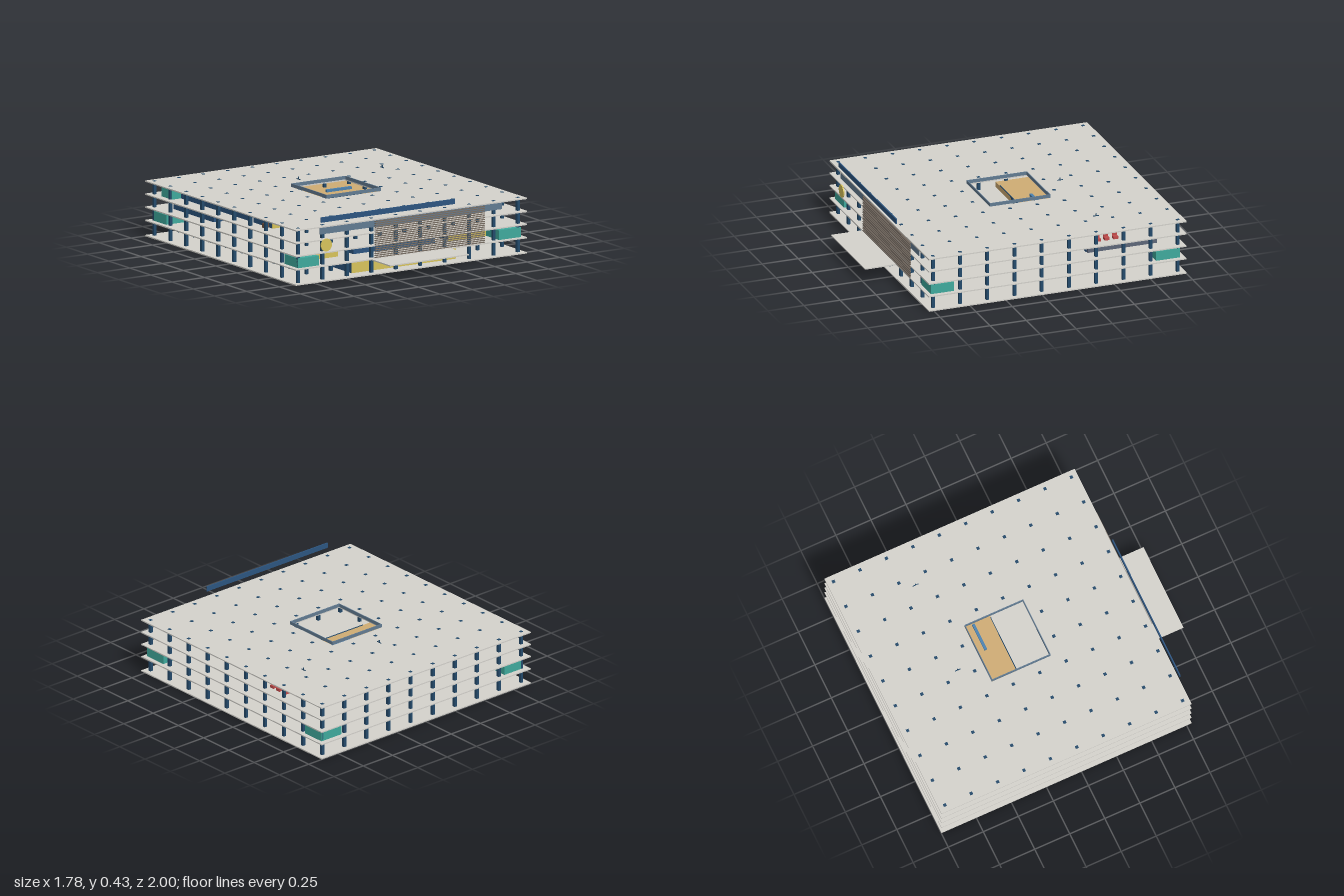
import * as THREE from 'three';

const mats = {};
const mat = (color) => (mats[color] ??= new THREE.MeshStandardMaterial({ color, side: THREE.DoubleSide }));
const C = {
  slab: 0xd4d2cc, column: 0x234a6b, blue: 0x2c5580, steel: 0x627b92, yellow: 0xd8c45c, teal: 0x3fa99c,
  slate: 0x5d6678, white: 0xd6d1ca, tan: 0xcfac74, brown: 0x6e4f3c, louver: 0x766c62, red: 0xc24b4b, sky: 0x4c82b0,
};
const X0 = -0.895, X1 = 0.89, Z0 = -1, Z1 = 0.785;
const VOID = { x0: -0.21, x1: 0.21, z0: -0.32, z1: 0.1 };
const LEVELS = [0, 0.1, 0.188, 0.274, 0.36];
const T = 0.008;

export function createModel() {
  const model = new THREE.Group();

  function group(name) {
    const g = new THREE.Group();
    g.name = name;
    model.add(g);
    return g;
  }
  // Box given by its extents along each axis
  function box(parent, name, color, x0, x1, y0, y1, z0, z1) {
    const m = new THREE.Mesh(new THREE.BoxGeometry(x1 - x0, y1 - y0, z1 - z0), mat(color));
    m.position.set((x0 + x1) / 2, (y0 + y1) / 2, (z0 + z1) / 2);
    m.name = name;
    parent.add(m);
    return m;
  }
  const rectPoints = (x0, x1, z0, z1) =>
    [[x0, -z0], [x1, -z0], [x1, -z1], [x0, -z1]].map(([x, y]) => new THREE.Vector2(x, y));

  // Floor slabs, with the atrium opening cut where it passes through
  const slabs = group('floorSlabs');
  LEVELS.forEach((y, i) => {
    const shape = new THREE.Shape(rectPoints(X0, X1, Z0, Z1));
    if (i !== 3) shape.holes.push(new THREE.Path(rectPoints(VOID.x0, VOID.x1, VOID.z0, VOID.z1)));
    const geo = new THREE.ExtrudeGeometry(shape, { depth: T, bevelEnabled: false }).rotateX(-Math.PI / 2);
    const m = new THREE.Mesh(geo, mat(C.slab));
    m.position.y = y;
    m.name = i === 4 ? 'roofSlab' : 'floorSlab' + i;
    slabs.add(m);
  });
  box(slabs, 'entranceCanopy', C.slab, -0.31, 0.3, 0.098, 0.106, Z1, 1);

  // Column grid, left out inside the atrium
  const columns = group('columns');
  for (let i = 0; i < 10; i++) {
    for (let j = 0; j < 10; j++) {
      const x = -0.85 + i * 0.1885, z = -0.955 + j * 0.1885;
      if (x > VOID.x0 && x < VOID.x1 && z > VOID.z0 && z < VOID.z1) continue;
      box(columns, 'column', C.column, x - 0.01, x + 0.01, 0.002, 0.37, z - 0.01, z + 0.01);
    }
  }

  // Thin rectangular ring around the atrium opening
  function ring(parent, name, color, y0, y1, t) {
    const { x0, x1, z0, z1 } = VOID;
    for (const z of [z0, z1 - t]) box(parent, name, color, x0, x1, y0, y1, z, z + t);
    for (const x of [x0, x1 - t]) box(parent, name, color, x, x + t, y0, y1, z0 + t, z1 - t);
  }
  const atrium = group('atrium');
  ring(atrium, 'skylightFrame', C.steel, 0.37, 0.392, 0.006);
  for (const i of [1, 2]) ring(atrium, 'balustrade', C.steel, LEVELS[i] + T, LEVELS[i] + 0.035, 0.004);

  // Rooms: box standing on a level, optionally with a coloured front panel
  const rooms = group('rooms');
  function room(name, level, color, x0, x1, z0, z1, front, h = 0.064) {
    const y = LEVELS[level] + T;
    box(rooms, name, color, x0, x1, y, y + h, z0, z1);
    if (front) box(rooms, name + 'Front', front, x0, x1, y, y + h, z1, z1 + 0.004);
  }
  // Ground floor
  room('lobby', 0, C.blue, -0.405, 0.4, 0.41, 0.69, C.yellow, 0.068);
  // First floor
  for (const [x0, x1] of [[-0.86, -0.7], [0.69, 0.86]]) {
    room('cornerRoom', 1, C.teal, x0, x1, 0.6, 0.76);
    room('cornerRoom', 1, C.teal, x0, x1, -0.965, -0.8);
  }
  room('frontRoom', 1, C.blue, -0.7, -0.45, 0.46, 0.6, C.yellow);
  room('frontRoom', 1, C.blue, 0.4, 0.69, 0.46, 0.6, C.yellow);
  room('frontRoom', 1, C.blue, -0.33, 0.3, 0.46, 0.6);
  room('serviceRoom', 1, C.slate, -0.41, 0.55, -0.8, -0.65);
  for (const [z0, z1] of [[0.16, 0.36], [-0.09, 0.12], [-0.36, -0.14], [-0.61, -0.4]]) {
    room('sideRoom', 1, C.white, 0.4, 0.68, z0, z1);
    room('sideRoom', 1, C.white, -0.68, -0.4, z0, z1);
  }
  // Second floor
  for (const [z0, z1] of [[0.03, 0.235], [-0.25, -0.04]]) {
    room('sideRoom', 2, C.white, 0.38, 0.6, z0, z1);
    room('sideRoom', 2, C.white, -0.6, -0.38, z0, z1);
  }
  room('rearHall', 2, C.slate, -0.38, 0.775, -0.84, -0.36);
  room('rearRoom', 2, C.blue, -0.78, -0.45, -0.84, -0.36);
  room('rearRoomFront', 2, C.blue, 0.55, 0.755, -0.36, -0.355);
  // Third floor
  room('topRoom', 3, C.blue, -0.78, -0.45, 0.11, 0.33, C.yellow);
  room('hall', 3, C.tan, -0.285, 0.56, -0.84, -0.13, null, 0.036);
  room('sideScreen', 3, C.blue, -0.78, -0.77, -0.84, 0.055);
  room('cornerRoom', 3, C.teal, -0.85, -0.78, -0.87, -0.75);
  box(rooms, 'upperScreen', C.blue, 0.4, 0.41, 0.318, 0.348, -0.84, 0.055);
  box(rooms, 'upperRoom', C.blue, 0.7, 0.78, 0.32, 0.345, -0.84, -0.6);
  box(rooms, 'hallEdge', C.column, -0.21, 0.21, 0.282, 0.322, -0.135, -0.13);
  box(rooms, 'hallRail', C.sky, 0.02, 0.21, 0.318, 0.335, -0.265, -0.247);

  // Seats and small desks
  const furniture = group('furniture');
  for (const z of [-0.42, -0.48, -0.54]) {
    box(furniture, 'seat', C.red, 0.78, 0.815, 0.282, 0.3, z - 0.016, z + 0.016);
    box(furniture, 'seatBack', C.red, 0.78, 0.788, 0.3, 0.323, z - 0.016, z + 0.016);
  }
  for (const [x, y, z] of [[-0.44, 0.108, 0.45], [0.6, 0.108, 0.14], [0.6, 0.108, -0.12], [0.6, 0.108, -0.63], [-0.8, 0.282, 0.28]])
    box(furniture, 'desk', C.brown, x - 0.02, x + 0.02, y, y + 0.03, z - 0.012, z + 0.012);

  // Front facade: louvers, fascia band, raised header and disc
  const facade = group('facade');
  for (let y = 0.112; y < 0.36; y += 0.0125)
    box(facade, 'louver', C.louver, -0.285, 0.56, y, y + 0.006, 0.782, 0.79);
  box(facade, 'fasciaBand', C.steel, -0.705, 0.7, 0.316, 0.365, 0.776, 0.781);
  box(facade, 'headerBar', C.blue, -0.705, 0.325, 0.397, 0.431, 0.787, 0.795);
  const disc = new THREE.Mesh(new THREE.CylinderGeometry(0.042, 0.042, 0.008, 32).rotateX(Math.PI / 2), mat(C.yellow));
  disc.position.set(-0.663, 0.244, 0.79);
  disc.name = 'facadeDisc';
  facade.add(disc);

  // Small masts breaking through the roof
  const masts = group('roofMasts');
  for (const x of [-0.045, 0.6]) {
    box(masts, 'mast', C.column, x - 0.003, x + 0.003, 0.3, 0.386, -0.488, -0.482);
    box(masts, 'mastArm', C.column, x - 0.002, x + 0.002, 0.368, 0.373, -0.505, -0.465);
  }
  return model;
}
